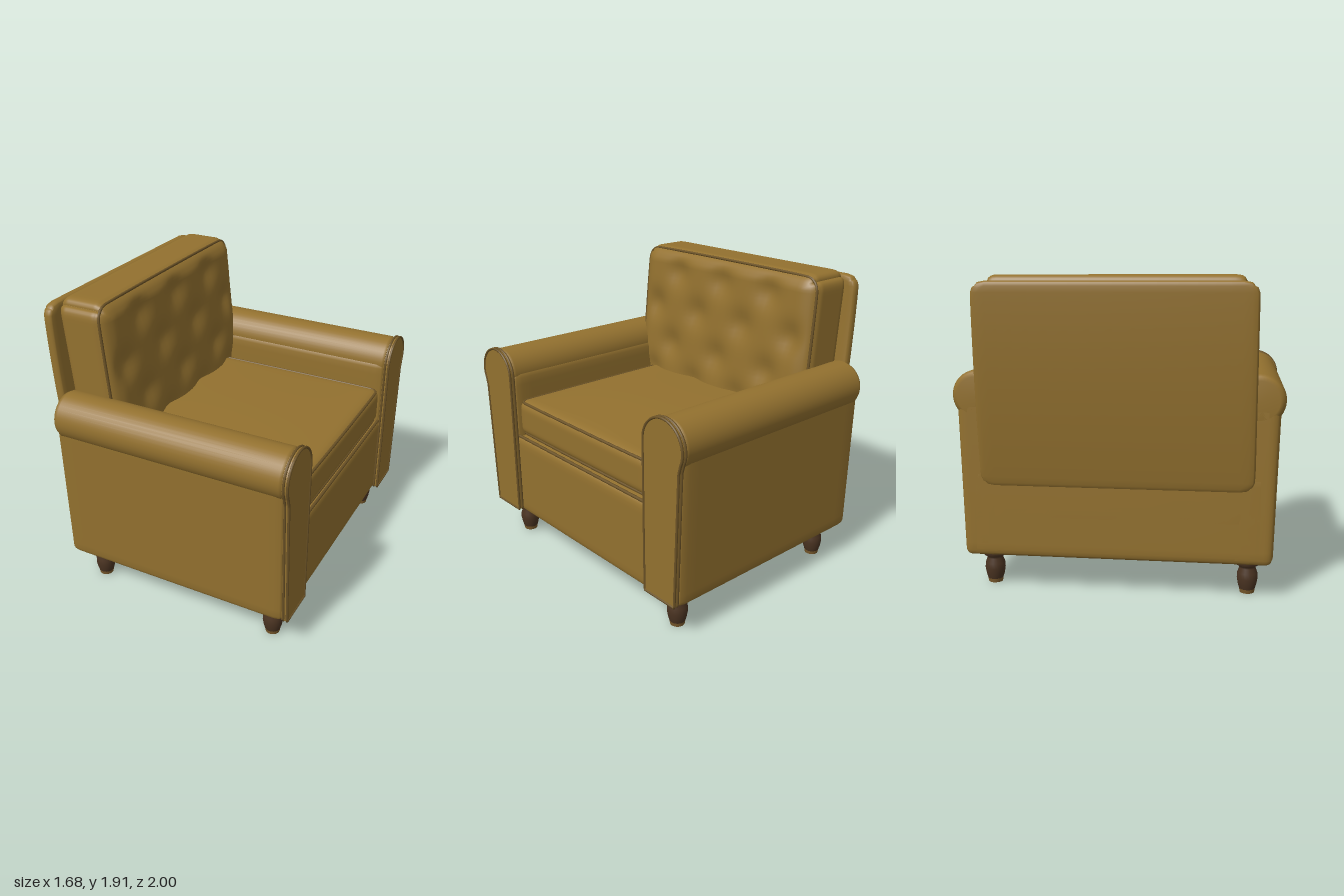
import * as THREE from 'three';
import { mergeVertices } from 'three/addons/utils/BufferGeometryUtils.js';

const mat = (name, color) => Object.assign(new THREE.MeshStandardMaterial({ color }), { name });

// Rounded, finely divided box between two corners; corner rounds it further in the y/z plane.
function softBox(min, max, r, { n = 16, corner = 0, deform } = {}) {
  const half = min.map((a, i) => (max[i] - a) / 2);
  const mid = min.map((a, i) => (max[i] + a) / 2);
  const box = new THREE.BoxGeometry(2, 2, 2, n, n, n);
  box.deleteAttribute('uv');
  box.deleteAttribute('normal');
  const geo = mergeVertices(box);
  const pos = geo.attributes.position;
  const p = new THREE.Vector3(), inner = new THREE.Vector3();
  const lim = new THREE.Vector3(...half.map(h => h - r));
  for (let i = 0; i < pos.count; i++) {
    // pack the grid lines towards the edges, where the rounding is
    p.fromBufferAttribute(pos, i);
    p.set(...p.toArray().map((v, k) => Math.sin(v * Math.PI / 2) * half[k]));
    inner.copy(p).clamp(lim.clone().negate(), lim);
    p.sub(inner).setLength(r).add(inner);
    if (corner) {
      const a = Math.abs(p.y) - half[1] + corner, b = Math.abs(p.z) - half[2] + corner;
      if (a > 0 && b > 0) {
        const f = Math.max(a, b) / Math.hypot(a, b);
        p.y = Math.sign(p.y) * (half[1] - corner + a * f);
        p.z = Math.sign(p.z) * (half[2] - corner + b * f);
      }
    }
    const u = p.clone().divide(new THREE.Vector3(...half));
    p.add(new THREE.Vector3(...mid));
    if (deform) deform(p, u);
    pos.setXYZ(i, p.x, p.y, p.z);
  }
  geo.computeVertexNormals();
  return geo;
}

// Closed piping along a rounded rectangle; place() turns (a, b) into a point.
function pipingLoop(a0, a1, b0, b1, r, place) {
  const pts = [];
  [[a1 - r, b1 - r], [a0 + r, b1 - r], [a0 + r, b0 + r], [a1 - r, b0 + r]].forEach(([a, b], k) => {
    for (let i = 0; i <= 5; i++) {
      const t = (k + i / 5) * Math.PI / 2;
      pts.push(place(a + r * Math.cos(t), b + r * Math.sin(t)));
    }
  });
  return new THREE.TubeGeometry(new THREE.CatmullRomCurve3(pts, true), 200, 0.009, 8, true);
}

// Outline of the arm front in (z, y)
function armOutline(s) {
  const pts = [[0.93, 0.24], [0.675, 0.24]];
  for (let i = 0; i <= 20; i++) {
    const t = Math.PI - (i / 20) * (Math.PI + 0.45);
    pts.push([0.835 + 0.16 * Math.cos(t), 1.2 + 0.16 * Math.sin(t)]);
  }
  pts.push([0.965, 1.08]);
  return pts.map(([z, y]) => new THREE.Vector2(s * z, y));
}

export function createModel() {
  const fabric = mat('upholstery', 0x93712f);
  const trim = mat('piping', 0x6b5226);
  const wood = mat('legWood', 0x4b3422);
  const tip = mat('legTip', 0x7a5a2c);
  const model = new THREE.Group();
  model.name = 'armchair';
  const add = (name, geo, material, parent = model) => {
    const m = new THREE.Mesh(geo, material);
    m.name = name;
    parent.add(m);
    return m;
  };

  // Base and the frame behind the seat
  add('base', softBox([-0.72, 0.21, -0.925], [0.8, 0.775, 0.925], 0.045), fabric);
  add('backFrame', softBox([-0.72, 0.4, -0.8], [-0.48, 1.2, 0.8], 0.04), fabric);
  add('basePiping', new THREE.CylinderGeometry(0.01, 0.01, 1.36, 8).rotateX(Math.PI / 2)
    .translate(0.79, 0.78, 0), trim);

  // Seat cushion, slightly crowned, piped at both edges
  add('seatCushion', softBox([-0.5, 0.8, -0.668], [0.795, 1.045, 0.668], 0.06, {
    n: 24,
    deform: (p, u) => { if (u.y > 0) p.y += 0.018 * u.y * (1 - u.x ** 2) * (1 - u.z ** 2); },
  }), fabric);
  for (const y of [0.817, 1.03]) {
    add('seatPiping', pipingLoop(-0.48, 0.778, -0.65, 0.65, 0.05,
      (x, z) => new THREE.Vector3(x, y, z)), trim);
  }

  // Tufted back cushion, leaning backwards
  const lean = y => -0.1 * (y - 1.36);
  const tufts = [];
  for (const [y, zs] of [[1.76, [-0.42, 0, 0.42]], [1.51, [-0.63, -0.21, 0.21, 0.63]],
    [1.25, [-0.45, 0, 0.45]], [1.02, [-0.63, -0.21, 0.21, 0.63]]]) {
    for (const z of zs) tufts.push([y, z]);
  }
  add('backCushion', softBox([-0.71, 0.88, -0.79], [-0.41, 1.915, 0.79], 0.06, {
    n: 48, corner: 0.1,
    deform: (p, u) => {
      if (u.x > 0.8) {
        const edge = Math.min(1, 6 * (1 - Math.abs(u.y))) * Math.min(1, 8 * (1 - Math.abs(u.z)));
        let dip = 0;
        for (const [y, z] of tufts) dip += Math.exp(-((p.y - y) ** 2 + (p.z - z) ** 2) / 0.009);
        p.x += edge * (0.035 - 0.038 * dip);
      }
      p.x += lean(p.y);
    },
  }), fabric);
  add('backPiping', pipingLoop(-0.773, 0.773, 0.9, 1.898, 0.085,
    (z, y) => new THREE.Vector3(-0.426 + lean(y), y, z)), trim);

  // Curved outer back panel
  add('backPanel', softBox([-0.035, 0.65, -0.822], [0.035, 1.88, 0.822], 0.03, {
    n: 20, corner: 0.08,
    deform: p => {
      const t = (p.y - 0.65) / 1.23;
      p.x += -0.69 - 0.21 * t + 0.09 * t * t;
    },
  }), fabric);

  for (const s of [1, -1]) {
    const arm = new THREE.Group();
    arm.name = s > 0 ? 'leftArm' : 'rightArm';
    model.add(arm);

    // Side panel, widening towards the top
    const z = [s * 0.675, s * 0.935].sort((a, b) => a - b);
    add('armSide', softBox([-0.72, 0.21, z[0]], [0.8, 1.22, z[1]], 0.045, {
      deform: (p, u) => { if (u.z * s > 0) p.z += s * 0.015 * (u.y + 1) * u.z * s; },
    }), fabric, arm);

    // Arm roll with rounded ends
    const roll = [[0, -0.72], [0.115, -0.72], [0.138, -0.708], [0.152, -0.68],
      [0.152, 0.775], [0.142, 0.795], [0.12, 0.803], [0, 0.803]];
    add('armRoll', new THREE.LatheGeometry(roll.map(([r, x]) => new THREE.Vector2(r, x)), 40)
      .rotateZ(-Math.PI / 2).translate(0, 1.202, s * 0.838), fabric, arm);

    // Arm front facing with piping on both rims
    const outline = armOutline(s);
    const shape = new THREE.Shape(outline.map(p => new THREE.Vector2(-p.x, p.y)));
    add('armFront', new THREE.ExtrudeGeometry(shape, { depth: 0.035, bevelEnabled: false })
      .rotateY(Math.PI / 2).translate(0.798, 0, 0), fabric, arm);
    for (const x of [0.808, 0.832]) {
      const path = new THREE.CurvePath();
      outline.forEach((p, i) => {
        const q = outline[(i + 1) % outline.length];
        path.add(new THREE.LineCurve3(new THREE.Vector3(x, p.y, p.x), new THREE.Vector3(x, q.y, q.x)));
      });
      add('armPiping', new THREE.TubeGeometry(path, 200, 0.008, 8, true), trim, arm);
    }

    // Turned legs
    for (const x of [-0.56, 0.68]) {
      const leg = new THREE.Group();
      leg.name = x > 0 ? 'frontLeg' : 'backLeg';
      leg.position.set(x, 0, s * 0.79);
      model.add(leg);
      const turned = [[0.048, 0.024], [0.056, 0.05], [0.063, 0.09], [0.061, 0.125], [0.05, 0.155],
        [0.052, 0.168], [0.068, 0.176], [0.07, 0.2], [0.066, 0.225]];
      add('legTurning', new THREE.LatheGeometry(turned.map(p => new THREE.Vector2(...p)), 24), wood, leg);
      add('legTip', new THREE.CylinderGeometry(0.048, 0.044, 0.024, 24).translate(0, 0.012, 0), tip, leg);
    }
  }
  return model;
}
